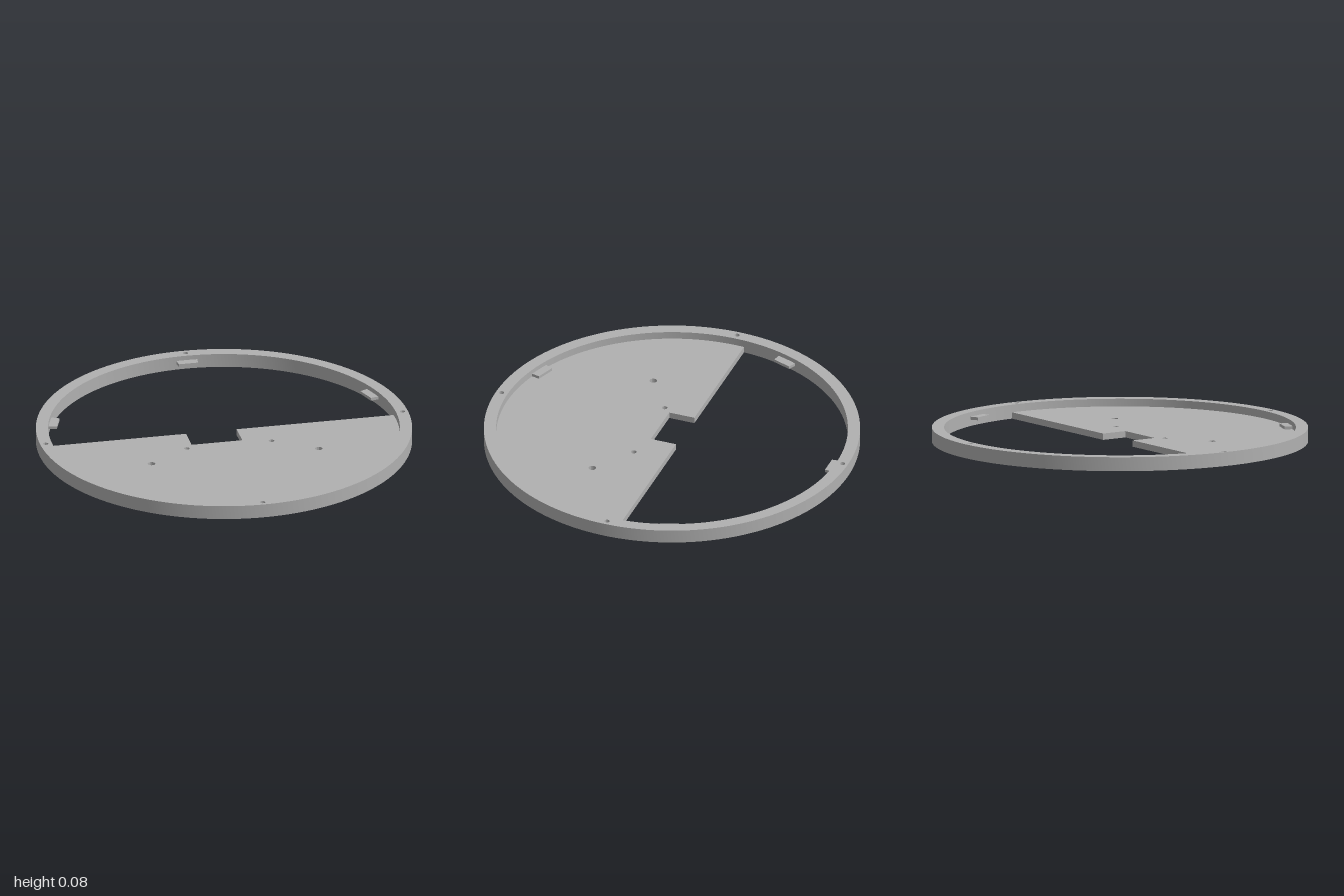
import * as THREE from 'three';
import { toCreasedNormals } from 'three/addons/utils/BufferGeometryUtils.js';

const INNER = 0.935, HEIGHT = 0.075, FLOOR = 0.034;

// Circular hole at plan position x, z
function hole(x, z, r) {
  return new THREE.Path().absarc(x, -z, r, 0, Math.PI * 2, true);
}

// Extrude a plan shape (shape y = -z) upwards from height y
function slab(name, shape, y, height, material, curveSegments = 96) {
  const geo = new THREE.ExtrudeGeometry(shape, { depth: height, bevelEnabled: false, curveSegments });
  geo.rotateX(-Math.PI / 2);
  const mesh = new THREE.Mesh(toCreasedNormals(geo, 0.6), material);
  mesh.position.y = y;
  mesh.name = name;
  return mesh;
}

export function createModel() {
  const model = new THREE.Group();
  model.name = 'ringWithHalfFloor';
  const grey = new THREE.MeshStandardMaterial({ color: 0xb0b0b0 });
  grey.name = 'grey';

  // Outer ring with four screw holes
  const ring = new THREE.Shape().absarc(0, 0, 1, 0, Math.PI * 2, false);
  ring.holes.push(hole(0, 0, INNER));
  for (const [x, z] of [[0.97, 0], [-0.97, 0], [0, 0.97], [0, -0.97]]) ring.holes.push(hole(x, z, 0.014));
  model.add(slab('ring', ring, 0, HEIGHT, grey));

  // Half floor with a notch in its straight edge and two pairs of holes
  const edge = 0.053, r = INNER + 0.003, a = Math.asin(edge / r);
  const floor = new THREE.Shape();
  floor.absarc(0, 0, r, Math.PI - a, Math.PI * 2 + a, false);
  floor.lineTo(0.08, edge);
  floor.lineTo(0.08, -0.09);
  floor.lineTo(-0.195, -0.09);
  floor.lineTo(-0.195, edge);
  floor.closePath();
  for (const s of [-1, 1]) floor.holes.push(hole(s * 0.23, 0.13, 0.015), hole(s * 0.455, 0.28, 0.02));
  model.add(slab('floor', floor, 0, FLOOR, grey));

  // Small tapered tabs on the inner wall
  const tab = new THREE.Shape([[0.89, -0.052], [0.94, -0.058], [0.94, 0.058], [0.89, 0.052]]
    .map(([x, y]) => new THREE.Vector2(x, y)));
  for (const degrees of [20, 90, 160, 250]) {
    const mesh = slab('tab', tab, FLOOR, 0.016, grey);
    mesh.rotation.y = THREE.MathUtils.degToRad(degrees);
    model.add(mesh);
  }
  return model;
}
